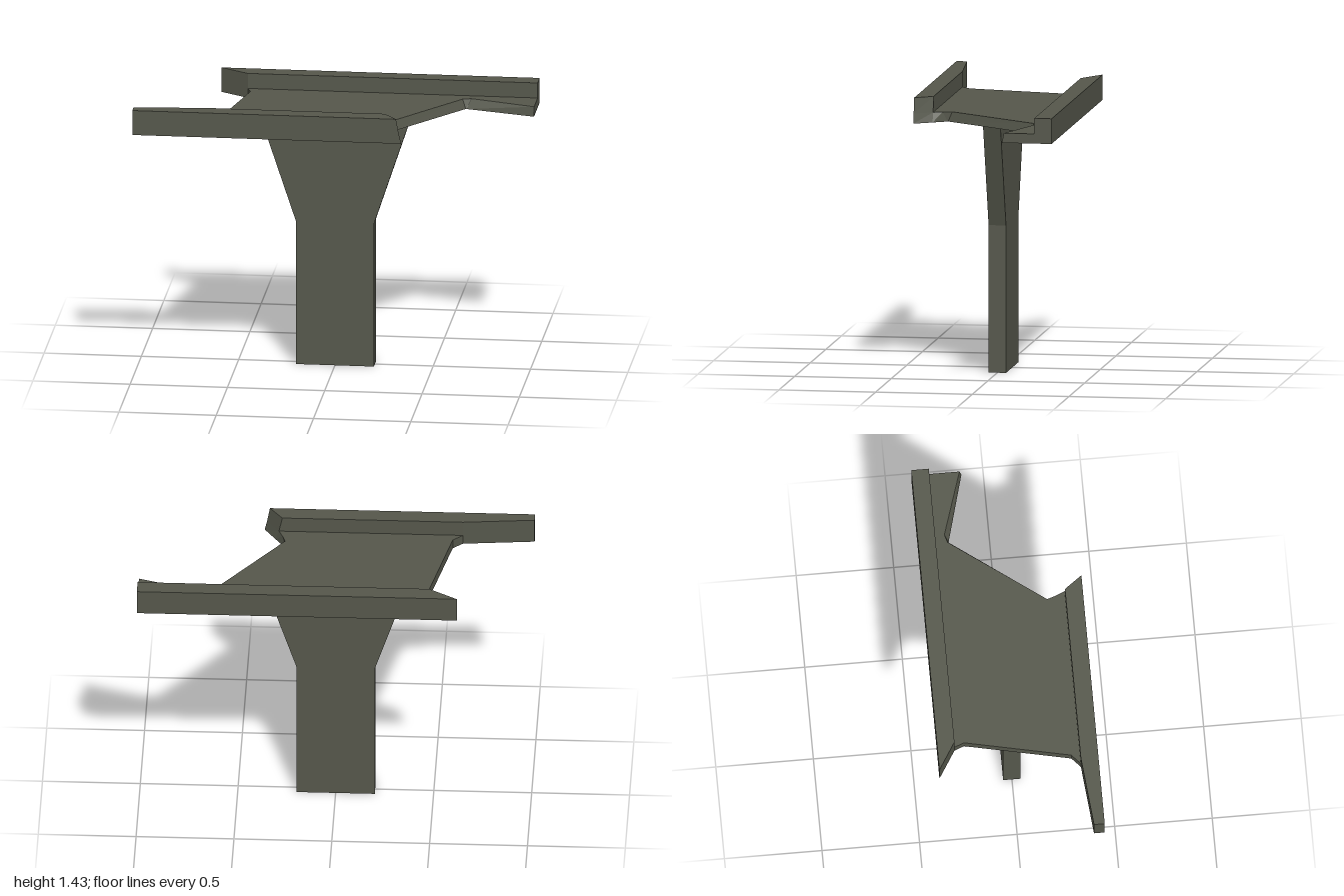
import * as THREE from 'three';

// Solid between a lower and an upper outline of [x, z] points, counter-clockwise seen from above
function prism(lower, upper, y0, y1) {
  const pos = [];
  const low = (i) => [lower[i][0], y0, lower[i][1]];
  const top = (i) => [upper[i][0], y1, upper[i][1]];
  const tri = (a, b, c) => pos.push(...a, ...b, ...c);
  const flat = (pts) => pts.map(([x, z]) => new THREE.Vector2(x, -z));
  for (const [a, b, c] of THREE.ShapeUtils.triangulateShape(flat(upper), [])) tri(top(a), top(b), top(c));
  for (const [a, b, c] of THREE.ShapeUtils.triangulateShape(flat(lower), [])) tri(low(c), low(b), low(a));
  lower.forEach((_, i) => {
    const j = (i + 1) % lower.length;
    tri(low(i), low(j), top(j));
    tri(low(i), top(j), top(i));
  });
  const geo = new THREE.BufferGeometry();
  geo.setAttribute('position', new THREE.Float32BufferAttribute(pos, 3));
  geo.computeVertexNormals();
  return geo;
}

export function createModel() {
  const group = new THREE.Group();
  const concrete = new THREE.MeshStandardMaterial({ color: 0x55574b });
  concrete.name = 'weathered concrete';
  const add = (name, geo) => {
    const mesh = new THREE.Mesh(geo, concrete);
    mesh.name = name;
    group.add(mesh);
  };

  // Flared pillar
  const shape = new THREE.Shape([
    [-0.2, 0], [0.2, 0], [0.2, 0.76], [0.38, 1.3], [-0.38, 1.3], [-0.2, 0.76],
  ].map(([x, y]) => new THREE.Vector2(x, y)));
  const pillar = new THREE.ExtrudeGeometry(shape, { depth: 0.09, bevelEnabled: false });
  pillar.translate(0, 0, -0.045);
  add('pillar', pillar);

  // Broken deck slab: ragged left edge is upright, right edge leans outwards at the bottom
  const left = [
    [-0.635, -0.41], [-0.49, -0.32], [-0.47, -0.27], [-0.585, 0.27],
    [-0.635, 0.315], [-1, 0.35], [-1, 0.405],
  ];
  const rightTop = [
    [0.37, 0.405], [0.305, 0.315], [0.285, 0.268], [0.27, 0.222],
    [0.622, -0.257], [0.665, -0.27], [1, -0.163], [1, -0.41],
  ];
  const rightLow = [
    [0.382, 0.405], [0.322, 0.315], [0.275, 0.246], [0.274, 0.242],
    [0.638, -0.25], [0.642, -0.25], [1, -0.153], [1, -0.41],
  ];
  add('deckSlab', prism([...left, ...rightLow], [...left, ...rightTop], 1.3, 1.35));

  // Kerbs along both sides of the deck
  const frontLeft = left.slice(4);
  add('frontKerb', prism(
    [...frontLeft, [0.37, 0.405], [0.305, 0.315]],
    [...frontLeft, [0.355, 0.405], [0.288, 0.315]], 1.35, 1.43));
  const back = [[-0.635, -0.41], [-0.49, -0.32], [1, -0.32], [1, -0.41]];
  add('backKerb', prism(back, back, 1.35, 1.43));

  return group;
}
